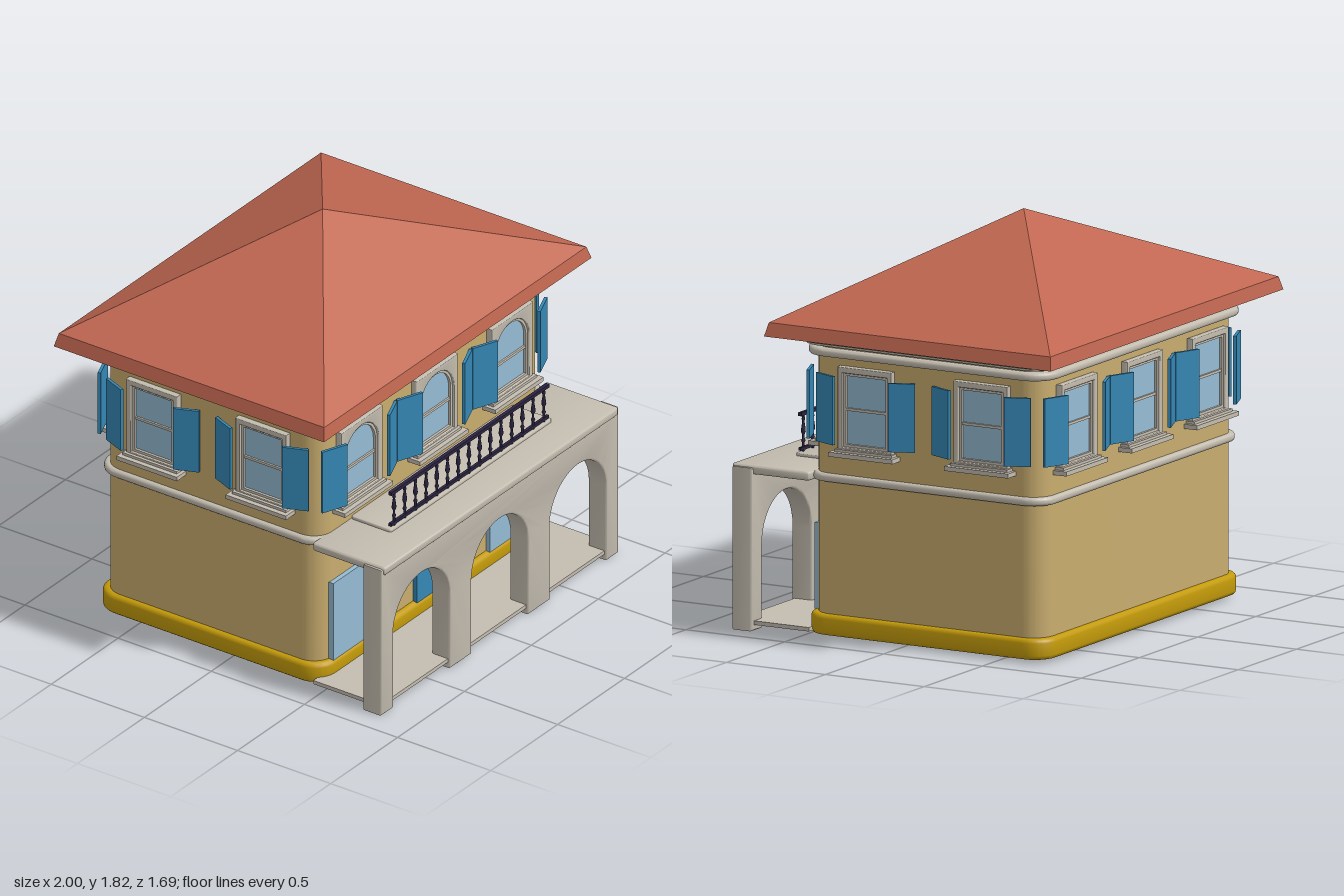
import * as THREE from 'three';
import { toCreasedNormals } from 'three/addons/utils/BufferGeometryUtils.js';

const paint = (name, color) => Object.assign(new THREE.MeshStandardMaterial({ color }), { name });
const CZ = -0.12; // centre of the house in depth
const ARCHES = [-0.585, 0, 0.585];

export function createModel() {
  const wall = paint('ochre plaster', 0xc9ad6f);
  const stone = paint('pale stone', 0xc4bdb0);
  const tile = paint('terracotta', 0xbf6650);
  const blue = paint('blue paint', 0x3587b5);
  const glass = paint('window glass', 0x96bcd4);
  const plinth = paint('yellow plinth', 0xc49b0a);
  const iron = paint('dark iron', 0x2a2440);
  const house = new THREE.Group();
  house.name = 'house';

  function add(parent, name, geometry, material, x = 0, y = 0, z = 0) {
    const mesh = new THREE.Mesh(geometry, material);
    mesh.name = name;
    mesh.position.set(x, y, z);
    parent.add(mesh);
    return mesh;
  }
  const box = (parent, name, mat, w, h, d, x, y, z) =>
    add(parent, name, new THREE.BoxGeometry(w, h, d), mat, x, y, z);

  // Extrusion whose outer size stays the same when its edges are bevelled
  function extrude(shape, depth, bevel = 0) {
    const geo = new THREE.ExtrudeGeometry(shape, {
      depth: depth - 2 * bevel, curveSegments: 10, bevelEnabled: bevel > 0,
      bevelThickness: bevel, bevelSize: bevel, bevelOffset: -bevel, bevelSegments: 3,
    });
    geo.translate(0, 0, bevel);
    return toCreasedNormals(geo, 0.6);
  }

  // Horizontal slab with rounded plan corners
  function slab(name, mat, hx, hz, r, y0, y1, bevel, z = CZ) {
    const s = new THREE.Shape();
    s.absarc(hx - r, hz - r, r, 0, Math.PI / 2);
    s.absarc(-hx + r, hz - r, r, Math.PI / 2, Math.PI);
    s.absarc(-hx + r, -hz + r, r, Math.PI, Math.PI * 1.5);
    s.absarc(hx - r, -hz + r, r, Math.PI * 1.5, Math.PI * 2);
    s.closePath();
    const geo = extrude(s, y1 - y0, bevel).rotateX(-Math.PI / 2);
    return add(house, name, geo, mat, 0, y0, z);
  }

  // Main body, plinth, string course and cornices
  slab('walls', wall, 0.84, 0.585, 0.1, 0.03, 1.34, 0);
  slab('plinth', plinth, 0.865, 0.612, 0.11, 0.015, 0.11, 0.02);
  slab('stringCourse', stone, 0.862, 0.607, 0.11, 0.7, 0.737, 0.014);
  slab('lowerCornice', stone, 0.877, 0.622, 0.12, 1.26, 1.297, 0.014);
  slab('upperCorniceFoot', stone, 0.888, 0.633, 0.12, 1.31, 1.33, 0.006);
  slab('upperCornice', stone, 0.907, 0.652, 0.13, 1.322, 1.352, 0.01);

  // Hipped roof from rectangular rings, closed underneath
  const rings = [[1.35, 0, 0], [1.35, 1, 0.725], [1.41, 0.98, 0.712], [1.8, 0.04, 0.029], [1.817, 0, 0]];
  const corner = ([y, hx, hz], i) => {
    const k = i % 4;
    return [k === 0 || k === 3 ? -hx : hx, y, k < 2 ? hz : -hz];
  };
  const pts = [];
  for (let j = 0; j < rings.length - 1; j++) {
    for (let i = 0; i < 4; i++) {
      const a = corner(rings[j], i), b = corner(rings[j], i + 1);
      const c = corner(rings[j + 1], i + 1), d = corner(rings[j + 1], i);
      if (rings[j][1] > 0) pts.push(...a, ...b, ...c);
      if (rings[j + 1][1] > 0) pts.push(...a, ...c, ...d);
    }
  }
  const roofGeo = new THREE.BufferGeometry();
  roofGeo.setAttribute('position', new THREE.Float32BufferAttribute(pts, 3));
  roofGeo.computeVertexNormals();
  add(house, 'roof', roofGeo, tile, 0, 0, CZ);

  // Rectangular or round-headed outline
  function opening(hw, y0, y1, arched, Type = THREE.Shape) {
    const s = new Type();
    s.moveTo(-hw, y0);
    s.lineTo(hw, y0);
    if (arched) s.absarc(0, y1 - hw, hw, 0, Math.PI);
    else s.lineTo(hw, y1).lineTo(-hw, y1);
    s.closePath();
    return s;
  }

  // Upper window with frame, rim, sill and leaning shutters; faces local +z
  function addWindow(name, x, z, turn, hw, gw, arched, leaf) {
    const g = new THREE.Group();
    g.name = name;
    g.position.set(x, 0, z);
    g.rotation.y = turn;
    house.add(g);
    const top = 1.187;
    const frame = opening(hw, 0.845, 1.225, false);
    frame.holes.push(opening(gw + 0.012, 0.868, top + 0.01, arched, THREE.Path));
    add(g, 'frame', extrude(frame, 0.03, 0.004), stone);
    const rim = opening(gw + 0.013, 0.867, top + 0.011, arched);
    rim.holes.push(opening(gw, 0.88, top - 0.002, arched, THREE.Path));
    add(g, 'rim', extrude(rim, 0.02), stone);
    add(g, 'pane', new THREE.ShapeGeometry(opening(gw + 0.005, 0.875, top, arched), 10), glass, 0, 0, 0.008);
    box(g, 'glazingBar', stone, gw * 2, 0.012, 0.014, 0, arched ? 1.012 : 1.035, 0.01);
    box(g, 'sill', stone, (hw + 0.025) * 2, 0.02, 0.068, 0, 0.837, 0.034);
    box(g, 'sillMoulding', stone, (hw + 0.008) * 2, 0.014, 0.045, 0, 0.852, 0.022);
    for (const s of [-1, 1]) {
      const hinge = new THREE.Group();
      hinge.name = 'shutter';
      hinge.position.set(s * (hw + 0.001), 1.032, 0.06);
      hinge.rotation.y = s * 0.38;
      g.add(hinge);
      box(hinge, 'shutterLeaf', blue, leaf, 0.306, 0.014, s * leaf / 2, 0, 0);
    }
  }
  for (const x of [-0.562, 0, 0.562]) {
    addWindow('frontWindow', x, CZ + 0.585, 0, 0.155, 0.115, true, 0.13);
    addWindow('backWindow', x, CZ - 0.585, Math.PI, 0.155, 0.115, false, 0.13);
  }
  for (const s of [-1, 1]) {
    for (const dz of [-0.293, 0.293]) {
      addWindow('sideWindow', s * 0.84, CZ + dz, s * Math.PI / 2, 0.137, 0.1, false, 0.118);
    }
  }

  // Ground floor door and large windows
  for (const x of [-0.585, 0.585]) box(house, 'groundWindow', glass, 0.36, 0.385, 0.04, x, 0.3, 0.467);
  const doorShape = new THREE.Shape();
  doorShape.moveTo(-0.14, 0.105).lineTo(0.14, 0.105).lineTo(0.14, 0.478).lineTo(0.128, 0.49);
  doorShape.lineTo(-0.128, 0.49).lineTo(-0.14, 0.478);
  add(house, 'door', extrude(doorShape, 0.04), blue, 0, 0, 0.447);

  // Arcade wall: three arches open down to the ground
  const arcade = new THREE.Shape();
  arcade.moveTo(-0.888, 0);
  for (const x of ARCHES) {
    arcade.lineTo(x - 0.212, 0);
    arcade.absarc(x, 0.368, 0.212, Math.PI, 0, true);
    arcade.lineTo(x + 0.212, 0);
  }
  arcade.lineTo(0.888, 0).lineTo(0.888, 0.728).lineTo(-0.888, 0.728);
  arcade.closePath();
  add(house, 'arcade', extrude(arcade, 0.102, 0.01), stone, 0, 0, 0.732);

  // Porch floor, balcony deck and raised step
  box(house, 'porchFloor', stone, 1.74, 0.018, 0.365, 0, 0.036, 0.637);
  slab('balconyDeck', stone, 0.876, 0.195, 0.015, 0.698, 0.738, 0.01, 0.647);
  slab('balconyStep', stone, 0.605, 0.108, 0.015, 0.73, 0.752, 0.006, 0.572);

  // Ceiling lamps under the deck
  for (const x of ARCHES) {
    add(house, 'porchLamp', new THREE.CylinderGeometry(0.012, 0.022, 0.04, 12), stone, x, 0.68, 0.627);
  }

  // Iron balcony railing with turned balusters
  const rail = new THREE.Group();
  rail.name = 'railing';
  rail.position.z = 0.665;
  house.add(rail);
  box(rail, 'topRail', iron, 1.18, 0.016, 0.018, 0, 0.921, 0);
  box(rail, 'bottomRail', iron, 1.18, 0.014, 0.014, 0, 0.766, 0);
  const profile = [[0.006, 0.752], [0.006, 0.79], [0.01, 0.8], [0.005, 0.81], [0.005, 0.825],
    [0.011, 0.84], [0.009, 0.86], [0.005, 0.885], [0.008, 0.895], [0.005, 0.915]];
  const turned = new THREE.LatheGeometry(profile.map(([r, y]) => new THREE.Vector2(r, y)), 8);
  for (let i = 0; i < 15; i++) add(rail, 'baluster', turned, iron, -0.56 + i * 0.08);

  return house;
}
